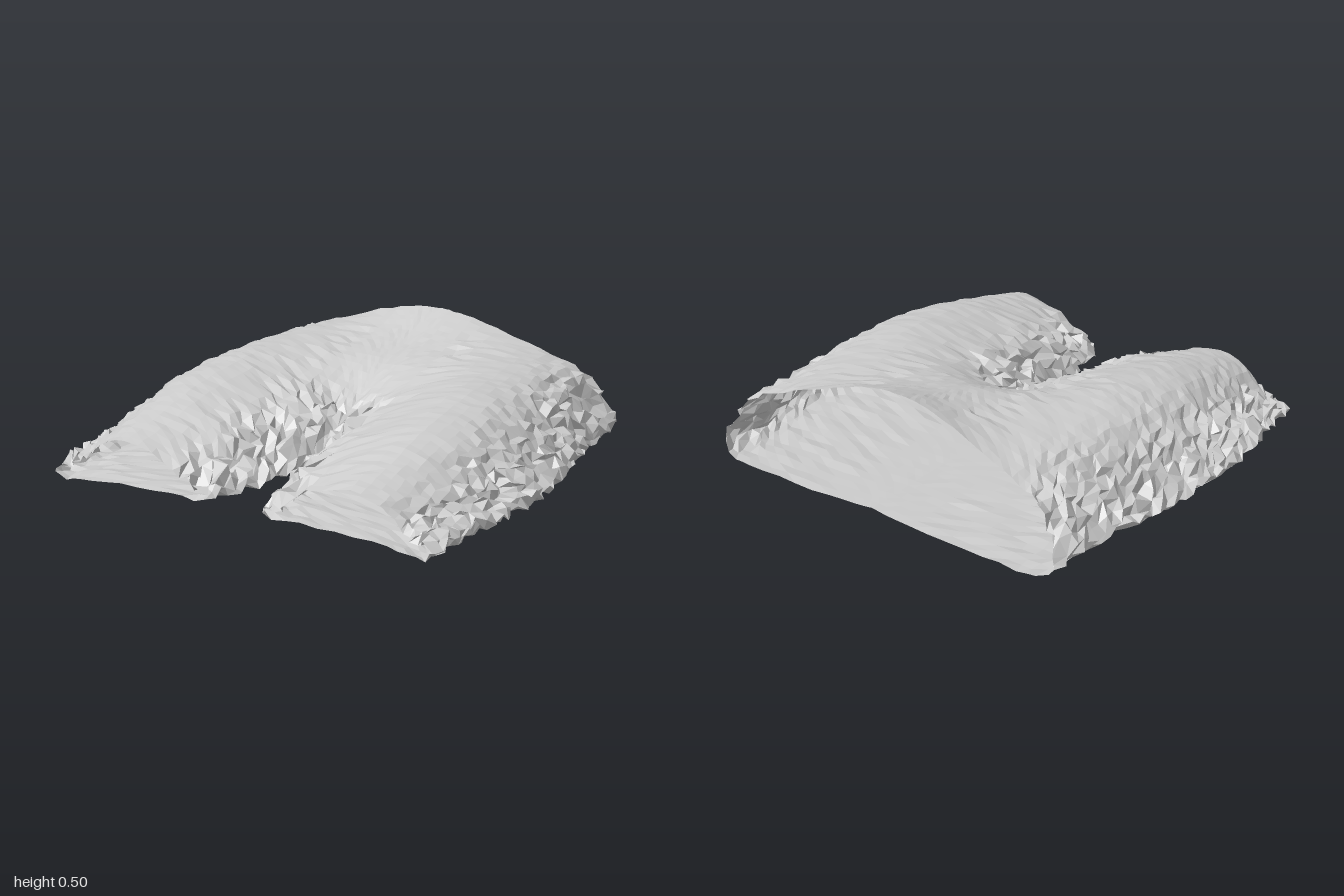
import * as THREE from 'three';

// Smooth one-dimensional interpolation through (xs, ys).
function spline(xs, ys, x) {
  const n = xs.length - 1;
  let k = 0;
  while (k < n - 1 && x > xs[k + 1]) k++;
  const slope = (i) => {
    const a = Math.max(0, i - 1), b = Math.min(n, i + 1);
    return (ys[b] - ys[a]) / (xs[b] - xs[a]);
  };
  const h = xs[k + 1] - xs[k];
  const t = THREE.MathUtils.clamp((x - xs[k]) / h, 0, 1);
  const t2 = t * t, t3 = t2 * t;
  return (2 * t3 - 3 * t2 + 1) * ys[k] + (t3 - 2 * t2 + t) * h * slope(k)
    + (3 * t2 - 2 * t3) * ys[k + 1] + (t3 - t2) * h * slope(k + 1);
}

// Repeatable noise in -1..1.
function hash(a, b, c) {
  const s = Math.sin(a * 127.1 + b * 311.7 + c * 74.7) * 43758.5453;
  return 2 * (s - Math.floor(s)) - 1;
}

// Stations along the cloth: inseam x, outseam x, then heights across the upper panel.
const stationZ = [-0.74, -0.5, -0.25, 0, 0.18, 0.28, 0.45, 0.7, 0.9];
const inseam = [0, 0, 0, 0, 0, 0.015, 0.045, 0.085, 0.13];
const outseam = [0.88, 0.88, 0.94, 0.98, 0.99, 0.99, 0.97, 0.94, 0.91];
const heights = [
  [0.5, 0.5, 0.49, 0.465, 0.39, 0.34, 0.3, 0.26, 0.17, 0.07],
  [0.415, 0.415, 0.41, 0.4, 0.385, 0.36, 0.31, 0.25, 0.15, 0.06],
  [0.35, 0.355, 0.36, 0.37, 0.385, 0.36, 0.3, 0.22, 0.14, 0.06],
  [0.22, 0.24, 0.265, 0.32, 0.385, 0.355, 0.28, 0.2, 0.13, 0.06],
  [0.13, 0.2, 0.235, 0.3, 0.37, 0.34, 0.26, 0.18, 0.12, 0.06],
  [0.05, 0.18, 0.22, 0.29, 0.36, 0.33, 0.25, 0.17, 0.12, 0.06],
  [0.05, 0.14, 0.2, 0.27, 0.335, 0.3, 0.22, 0.15, 0.11, 0.06],
  [0.05, 0.12, 0.17, 0.225, 0.275, 0.24, 0.17, 0.12, 0.1, 0.06],
  [0.05, 0.08, 0.12, 0.18, 0.23, 0.19, 0.12, 0.09, 0.08, 0.05],
];
const lowerHeights = [0.018, 0.035, 0.045, 0.045, 0.05];

// Per profile point, upper panel outward and lower panel back to the inseam.
const across = [0, 0.06, 0.14, 0.28, 0.53, 0.7, 0.81, 0.88, 0.94, 1, 0.93, 0.75, 0.45, 0.15, 0];
const waistShift = [0, 0, 0, -0.01, -0.03, -0.05, -0.06, -0.07, -0.08, -0.11, -0.15, -0.18, -0.195, -0.18, -0.17];
const crumple = [0.02, 0.03, 0.03, 0.01, 0.003, 0.005, 0.014, 0.024, 0.025, 0.022, 0.012, 0.007, 0.005, 0.01, 0.02];
const index = across.map((_, i) => i);

// One half of the garment: hip, leg, inseam and underside in a single open sheet.
function halfGarment(side) {
  const rows = 44, cols = 42;
  const pos = [], tri = [];
  for (let i = 0; i <= rows; i++) {
    const s = i / rows;
    const z0 = -0.74 + 1.64 * s;
    const xi = Math.max(0, spline(stationZ, inseam, z0));
    const xo = spline(stationZ, outseam, z0);
    const ys = heights[0].map((_, k) => spline(stationZ, heights.map((r) => r[k]), z0));
    ys.push(...lowerHeights);
    const fade = Math.max(0, 1 - s / 0.4);
    for (let j = 0; j <= cols; j++) {
      const p = (j / cols) * (across.length - 1);
      const t = THREE.MathUtils.clamp(spline(index, across, p), 0, 1);
      const edge = j === 0 || j === cols;
      // The crumpled seam begins below the crotch; the centre line stays joined.
      let amp = Math.abs(spline(index, crumple, p));
      if (edge) amp *= THREE.MathUtils.smoothstep(z0, 0.28, 0.4);
      else if (t < 0.28) amp *= 0.1 + 0.9 * THREE.MathUtils.smoothstep(z0, -0.1, 0.1);
      const c = j % cols;
      let x = xi + t * (xo - xi) + amp * hash(i, c, 1 + side);
      x = edge && z0 < 0.28 ? xi : Math.max(0.002, x);
      const y = spline(index, ys, p) + amp * hash(i, c, 5 + side);
      const hem = p > 9 ? 0.02 * s * t : 0;
      const z = z0 + fade * spline(index, waistShift, p) + hem
        + (i > 0 && i < rows ? 0.7 : 0.3) * amp * hash(i, c, 9 + side);
      pos.push(side * x, Math.max(0, y), z);
      if (i < rows && j < cols) {
        const a = i * (cols + 1) + j, b = a + cols + 1;
        if (side > 0) tri.push(a, b, a + 1, b, b + 1, a + 1);
        else tri.push(a, a + 1, b, b, a + 1, b + 1);
      }
    }
  }
  const geo = new THREE.BufferGeometry();
  geo.setAttribute('position', new THREE.Float32BufferAttribute(pos, 3));
  geo.setIndex(tri);
  geo.computeVertexNormals();
  return geo;
}

export function createModel() {
  const group = new THREE.Group();
  group.name = 'shorts';
  const cloth = new THREE.MeshStandardMaterial({
    color: 0xcccccc, flatShading: true, side: THREE.DoubleSide,
  });
  for (const side of [1, -1]) {
    const half = new THREE.Mesh(halfGarment(side), cloth);
    half.name = side > 0 ? 'leftHipAndLeg' : 'rightHipAndLeg';
    group.add(half);
  }
  return group;
}
